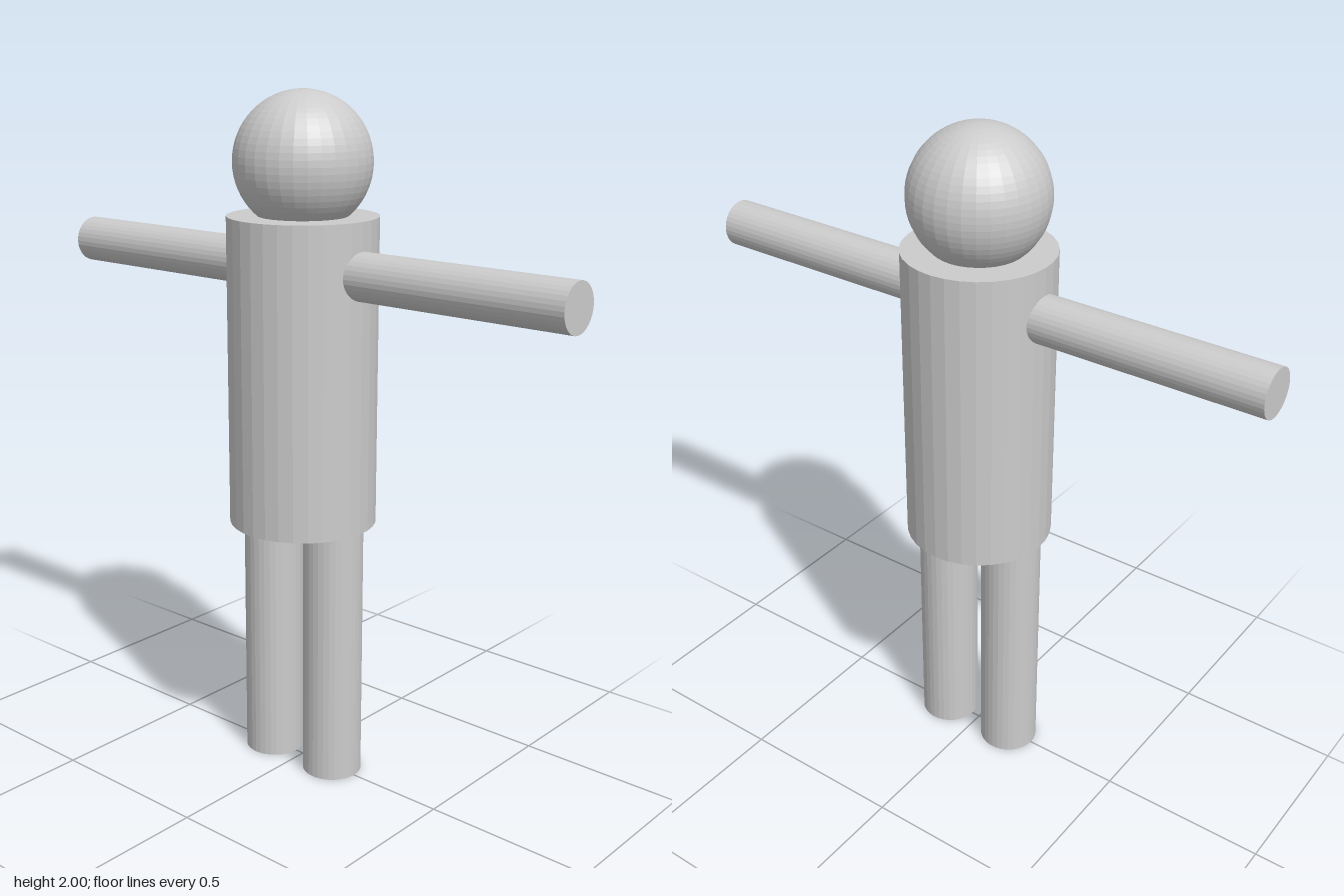
import * as THREE from 'three';

export function createModel() {
  const model = new THREE.Group();
  const material = new THREE.MeshStandardMaterial({ color: 0xcccccc, flatShading: true });

  const add = (name, geometry, x, y) => {
    const mesh = new THREE.Mesh(geometry, material);
    mesh.name = name;
    mesh.position.set(x, y, 0);
    model.add(mesh);
    return mesh;
  };

  // Head sits slightly sunk into the top of the torso
  add('head', new THREE.SphereGeometry(0.195, 32, 32), 0, 1.805);
  add('torso', new THREE.CylinderGeometry(0.214, 0.214, 0.889, 32), 0, 1.2135);

  // Mirrored limbs: arms stretch straight out, legs stand under the torso
  const armInner = 0.12, armOuter = 0.886;
  for (const [side, s] of [['left', 1], ['right', -1]]) {
    const arm = add(side + 'Arm', new THREE.CylinderGeometry(0.068, 0.068, armOuter - armInner, 32),
      s * (armInner + armOuter) / 2, 1.51);
    arm.rotation.z = -s * Math.PI / 2;
    add(side + 'Leg', new THREE.CylinderGeometry(0.088, 0.088, 0.78, 32), s * 0.116, 0.39);
  }
  return model;
}
